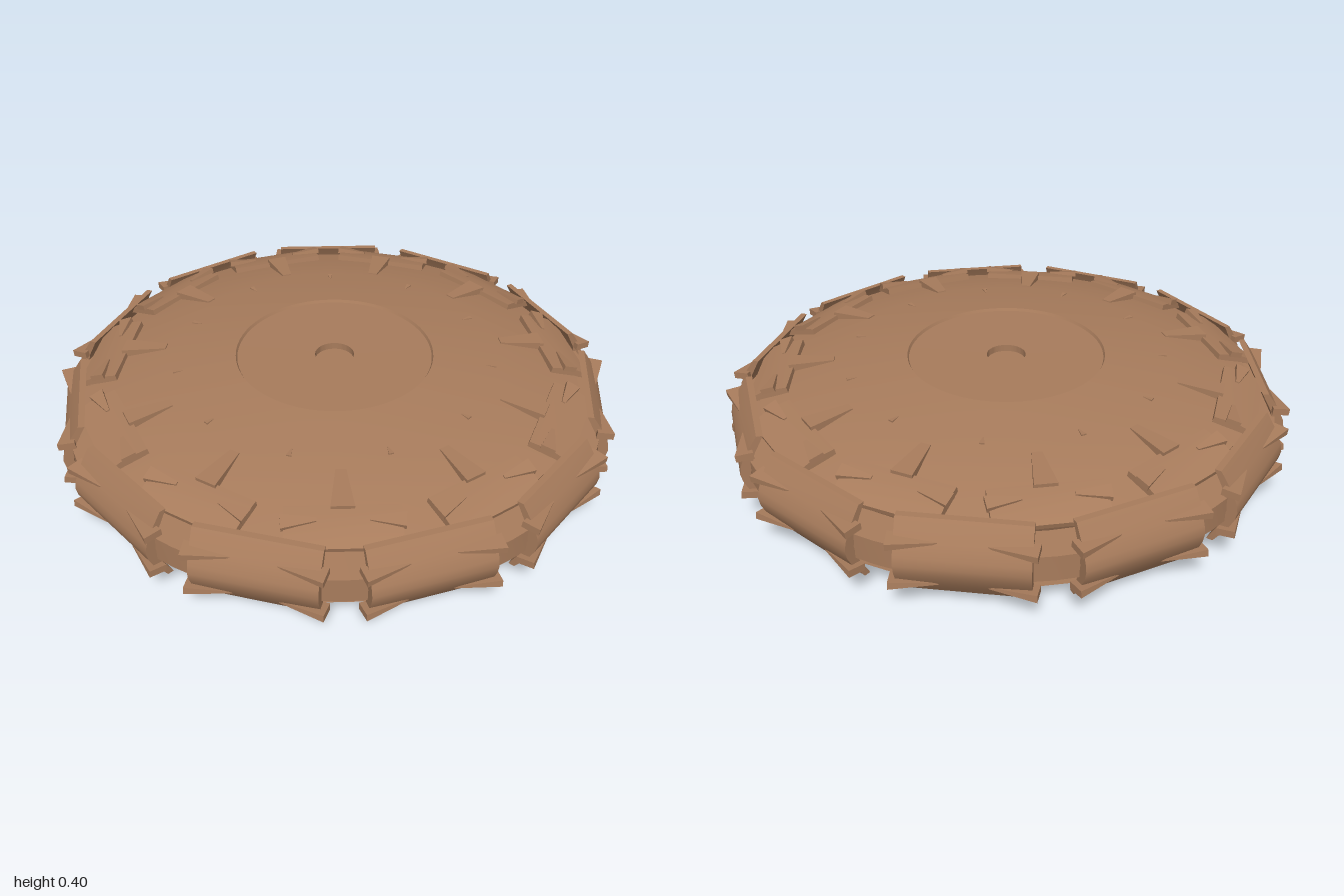
import * as THREE from 'three';
import { toCreasedNormals } from 'three/addons/utils/BufferGeometryUtils.js';

const COUNT = 11;            // plates around the rim
const STEP = (Math.PI * 2) / COUNT;
const MID = 0.203;           // height of the middle plane

export function createModel() {
  const model = new THREE.Group();
  model.name = 'armouredDisc';
  const brown = new THREE.MeshStandardMaterial({ color: 0xa87c5c });
  const disc = new THREE.Group();
  disc.name = 'disc';
  disc.position.y = MID;
  model.add(disc);

  const add = (parent, geometry, name) => {
    const mesh = new THREE.Mesh(geometry, brown);
    mesh.name = name;
    parent.add(mesh);
    return mesh;
  };

  // Slab that keeps one radial section (r, y) and runs along the tangent
  const slab = (points, width) => {
    const shape = new THREE.Shape(points.map(([r, y]) => new THREE.Vector2(r, y)));
    const g = new THREE.ExtrudeGeometry(shape, { depth: width, bevelEnabled: false });
    g.translate(0, 0, -width / 2);
    return toCreasedNormals(g, 0.6);
  };

  // Flat wedge along +x, narrow at x = 0 and wide at x = length
  const wedge = (length, narrow, wide, thick) => {
    const g = new THREE.CylinderGeometry(wide / Math.SQRT2, narrow / Math.SQRT2, length, 4);
    g.rotateY(Math.PI / 4);
    g.rotateZ(-Math.PI / 2);
    g.translate(length / 2, 0, 0);
    g.scale(1, thick / wide, 1);
    const flat = g.toNonIndexed();
    flat.computeVertexNormals();
    return flat;
  };

  // Body: half profile from the hub to the rim, mirrored below
  const half = [
    [0, 0.165], [0.07, 0.165], [0.07, 0.19], [0.35, 0.192], [0.355, 0.202],
    [0.6, 0.178], [0.76, 0.145], [0.88, 0.112], [0.85, 0.05], [0.965, 0.045],
  ];
  const profile = [
    ...half.map(([r, y]) => new THREE.Vector2(r, -y)),
    ...half.slice().reverse().map(([r, y]) => new THREE.Vector2(r, y)),
  ];
  add(disc, toCreasedNormals(new THREE.LatheGeometry(profile, 66), 0.35), 'body');

  // Outer rim plate section, bulging at mid height
  const rimPlate = slab([
    [0.89, -0.135], [0.912, -0.135], [0.953, -0.075], [0.974, -0.03], [0.98, 0], [0.974, 0.03],
    [0.953, 0.075], [0.912, 0.135], [0.89, 0.135], [0.925, 0.07], [0.945, 0], [0.925, -0.07],
  ], 0.41);
  // Sloped plate above each gap between rim plates
  const shoulderPlate = slab(
    [[0.76, 0.14], [0.9, 0.098], [0.905, 0.115], [0.84, 0.146], [0.765, 0.16]], 0.36);
  const rimSpike = wedge(0.15, 0.015, 0.06, 0.025);
  const shoulderSpike = wedge(0.11, 0.012, 0.05, 0.02);
  const radialWedge = wedge(0.16, 0.035, 0.075, 0.03);
  const tinyWedge = wedge(0.035, 0.004, 0.018, 0.012);

  // Pair of spikes pointing to both ends of a plate
  const spikePair = (parent, geometry, r, y, start, tilt, name) => {
    for (const s of [-1, 1]) {
      const spike = add(parent, geometry, name);
      spike.position.set(r, y, s * start);
      spike.rotation.set(0, -s * (Math.PI / 2 - 0.08), tilt, 'ZYX');
    }
  };

  for (let i = 0; i < COUNT; i++) {
    const rimGroup = new THREE.Group();
    rimGroup.name = 'rimSection';
    rimGroup.rotation.y = Math.PI / 2 + i * STEP;
    add(rimGroup, rimPlate, 'rimPlate');

    const gapGroup = new THREE.Group();
    gapGroup.name = 'shoulderSection';
    gapGroup.rotation.y = Math.PI / 2 + (i + 0.5) * STEP;
    disc.add(rimGroup, gapGroup);

    // Upper and lower faces carry the same details
    for (const turn of [0, Math.PI]) {
      const rimSide = new THREE.Group();
      const gapSide = new THREE.Group();
      rimSide.name = 'rimSpikes';
      gapSide.name = 'shoulderDetails';
      rimSide.rotation.x = gapSide.rotation.x = turn;
      rimGroup.add(rimSide);
      gapGroup.add(gapSide);

      spikePair(rimSide, rimSpike, 0.945, 0.076, 0.075, -0.1, 'rimSpike');
      const tiny = add(rimSide, tinyWedge, 'tinyWedge');
      tiny.position.set(0.545, 0.183, 0);
      tiny.rotation.z = -0.1;

      add(gapSide, shoulderPlate, 'shoulderPlate');
      spikePair(gapSide, shoulderSpike, 0.82, 0.155, 0.08, -0.3, 'shoulderSpike');
      const radial = add(gapSide, radialWedge, 'radialWedge');
      radial.position.set(0.62, 0.171, 0);
      radial.rotation.z = -0.1;
    }
  }

  return model;
}
